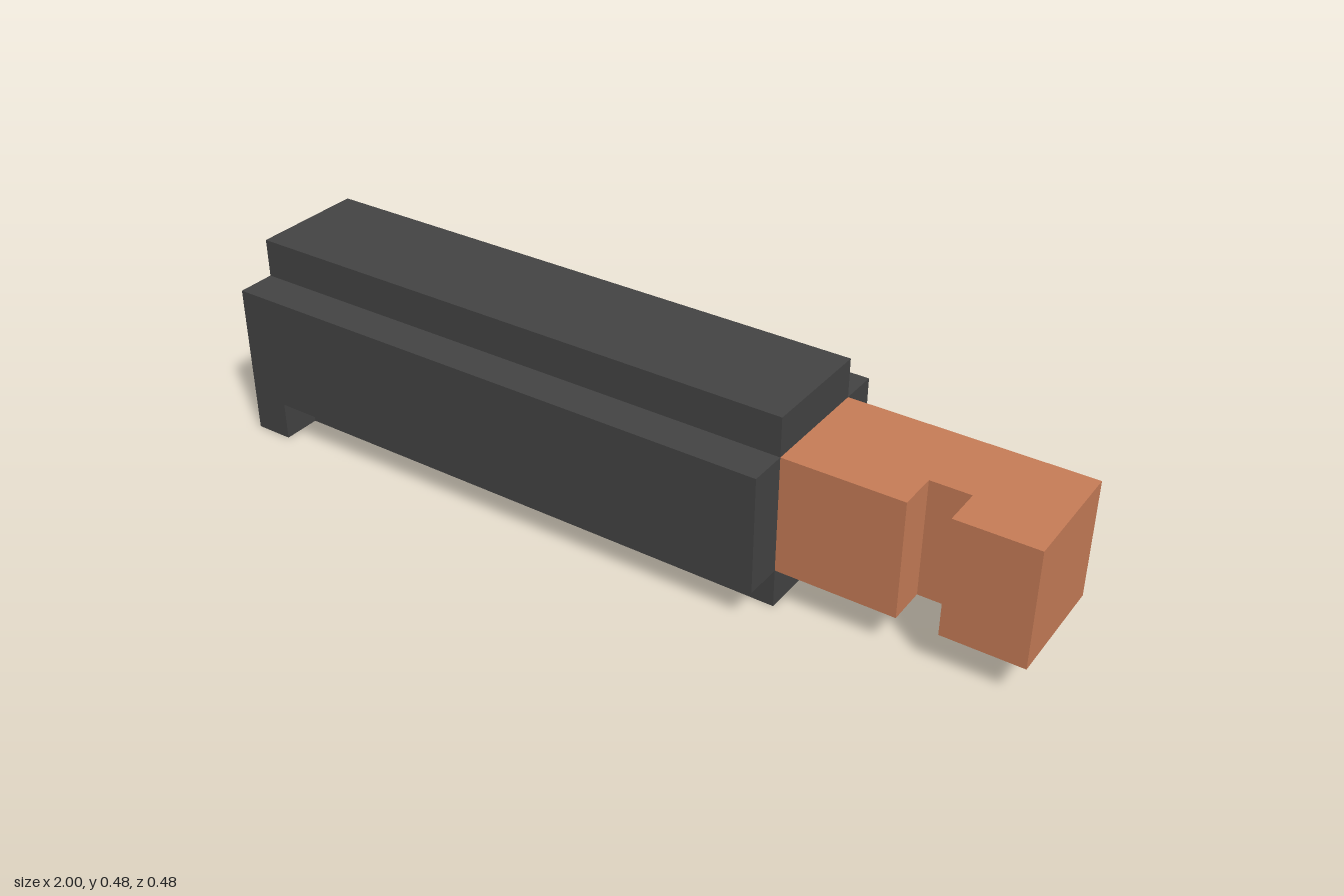
import * as THREE from 'three';

const U = 2 / 21; // modular unit: the whole model is 21 units long

// Extrude a polygon given in units
function prism(points, depth) {
  const shape = new THREE.Shape(points.map(([a, b]) => new THREE.Vector2(a * U, b * U)));
  return new THREE.ExtrudeGeometry(shape, { depth: depth * U, bevelEnabled: false });
}

// Mirror a half profile about the vertical axis into a closed outline
function mirrored(half) {
  return [...half, ...half.map(([a, b]) => [-a, b]).reverse()];
}

export function createModel() {
  const group = new THREE.Group();
  const charcoal = new THREE.MeshStandardMaterial({ color: 0x444444 });
  charcoal.name = 'charcoal';
  const copper = new THREE.MeshStandardMaterial({ color: 0xc87d58 });
  copper.name = 'copper';

  function add(name, geometry, material) {
    const mesh = new THREE.Mesh(geometry, material);
    mesh.name = name;
    group.add(mesh);
  }

  // Profiles run along x after the quarter turn
  const along = (half, startX, length) =>
    prism(mirrored(half), length).rotateY(Math.PI / 2).translate(startX * U, 0, 0);

  // Main body: cross-shaped section
  add('body', along([[1.5, 0], [1.5, 1], [2.5, 1], [2.5, 4], [1.5, 4], [1.5, 5]], -9.5, 14), charcoal);

  // End block: full-width foot with the top ridge carried over it
  add('endBlock', along([[2.5, 0], [2.5, 4], [1.5, 4], [1.5, 5]], -10.5, 1), charcoal);

  // Projecting bar with a notch in its front side
  const bar = prism([
    [4.5, -1.5], [7.5, -1.5], [7.5, -0.5], [8.5, -0.5], [8.5, -1.5],
    [10.5, -1.5], [10.5, 1.5], [4.5, 1.5],
  ], 3).rotateX(-Math.PI / 2).translate(0, U, 0);
  add('notchedBar', bar, copper);

  return group;
}
